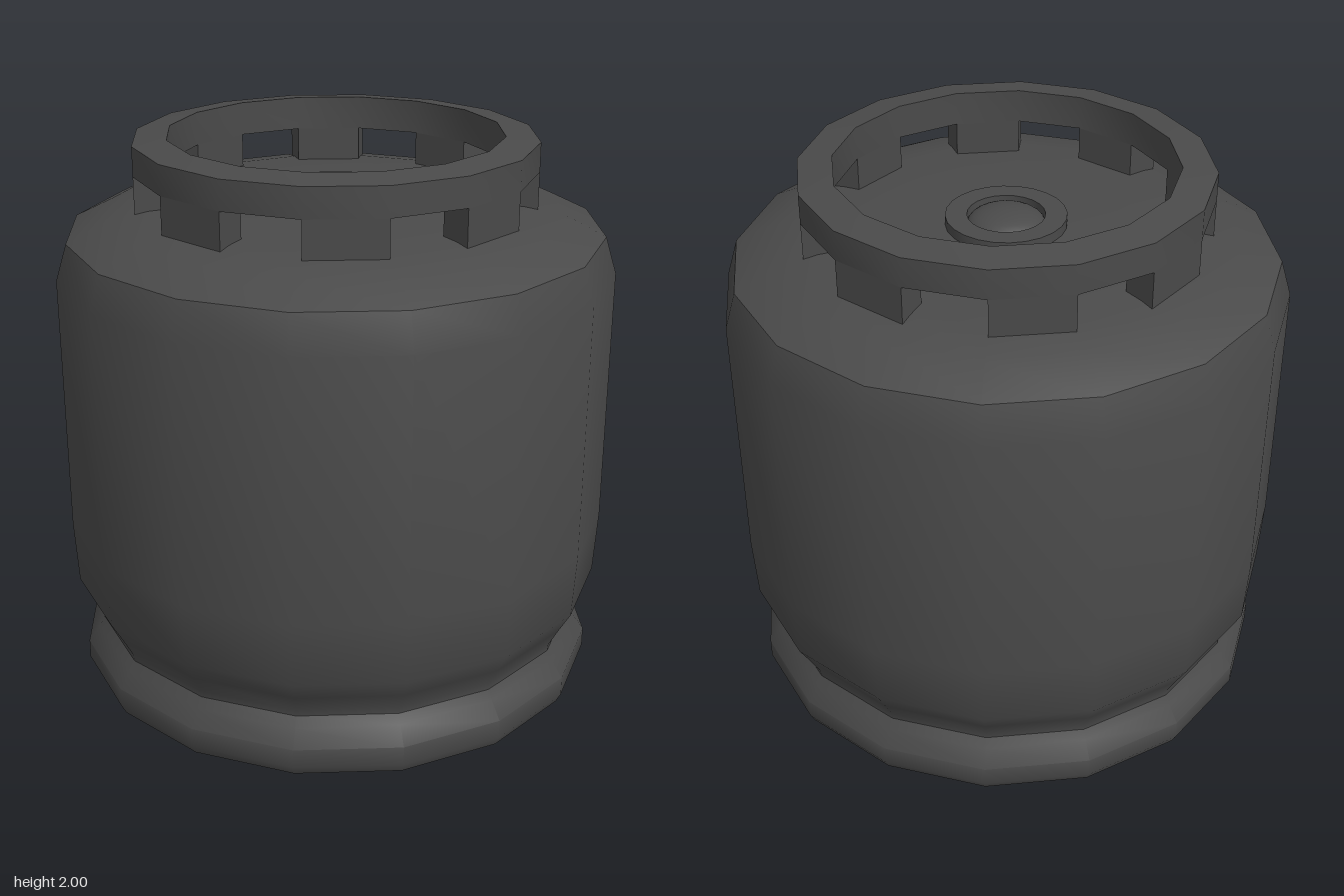
import * as THREE from 'three';
import { toCreasedNormals } from 'three/addons/utils/BufferGeometryUtils.js';

const SIDES = 16;

export function createModel() {
  const group = new THREE.Group();
  const steel = new THREE.MeshStandardMaterial({ color: 0x4a4a4a });
  steel.name = 'dark grey steel';

  function add(name, geometry, parent = group) {
    const mesh = new THREE.Mesh(geometry, steel);
    mesh.name = name;
    parent.add(mesh);
    return mesh;
  }

  // Revolves an [r, y] profile, smooth around but sharp at hard edges
  function revolve(points, sides = SIDES) {
    const profile = points.map(([r, y]) => new THREE.Vector2(r, y));
    return toCreasedNormals(new THREE.LatheGeometry(profile, sides), 0.62);
  }

  // Tank: foot rim, waist, wall and shoulder
  add('tank', revolve([
    [0, 0.03], [0.89, 0.03], [0.9, 0], [0.94, 0], [0.958, 0.035], [0.958, 0.105],
    [0.915, 0.165], [0.895, 0.2], [0.898, 0.225], [0.935, 0.295], [0.977, 0.37],
    [0.99, 0.6], [0.99, 1.53], [0.95, 1.66],
    [0.81, 1.73], [0.66, 1.757], [0.4, 1.77], [0, 1.77],
  ]));

  // Carrying collar: a ring on eight posts
  const collar = new THREE.Group();
  collar.name = 'collar';
  group.add(collar);
  const inner = 0.59, outer = 0.71, bandY = 1.88, postY = 1.74;
  add('collarRing', revolve([
    [inner, bandY], [outer, bandY], [outer, 1.985], [inner, 2], [inner, bandY],
  ]), collar);

  const step = (Math.PI * 2) / SIDES;
  const at = (r, a) => new THREE.Vector2(r * Math.sin(a), -r * Math.cos(a));
  const postShape = new THREE.Shape([
    at(inner, 0), at(outer, 0), at(outer, step), at(inner, step),
  ]);
  const postGeometry = new THREE.ExtrudeGeometry(postShape, {
    depth: bandY - postY, bevelEnabled: false,
  });
  postGeometry.rotateX(-Math.PI / 2);
  for (let i = 1; i < SIDES; i += 2) {
    const post = add('collarPost', postGeometry, collar);
    post.rotation.y = i * step;
    post.position.y = postY;
  }

  // Valve seat with a domed valve in its middle
  add('valveSeat', revolve([
    [0.21, 1.76], [0.21, 1.805], [0.135, 1.805], [0.135, 1.765],
  ], 24));
  const dome = add('valveDome',
    new THREE.SphereGeometry(0.135, 24, 8, 0, Math.PI * 2, 0, Math.PI / 2));
  dome.scale.y = 0.4;
  dome.position.y = 1.768;

  return group;
}
